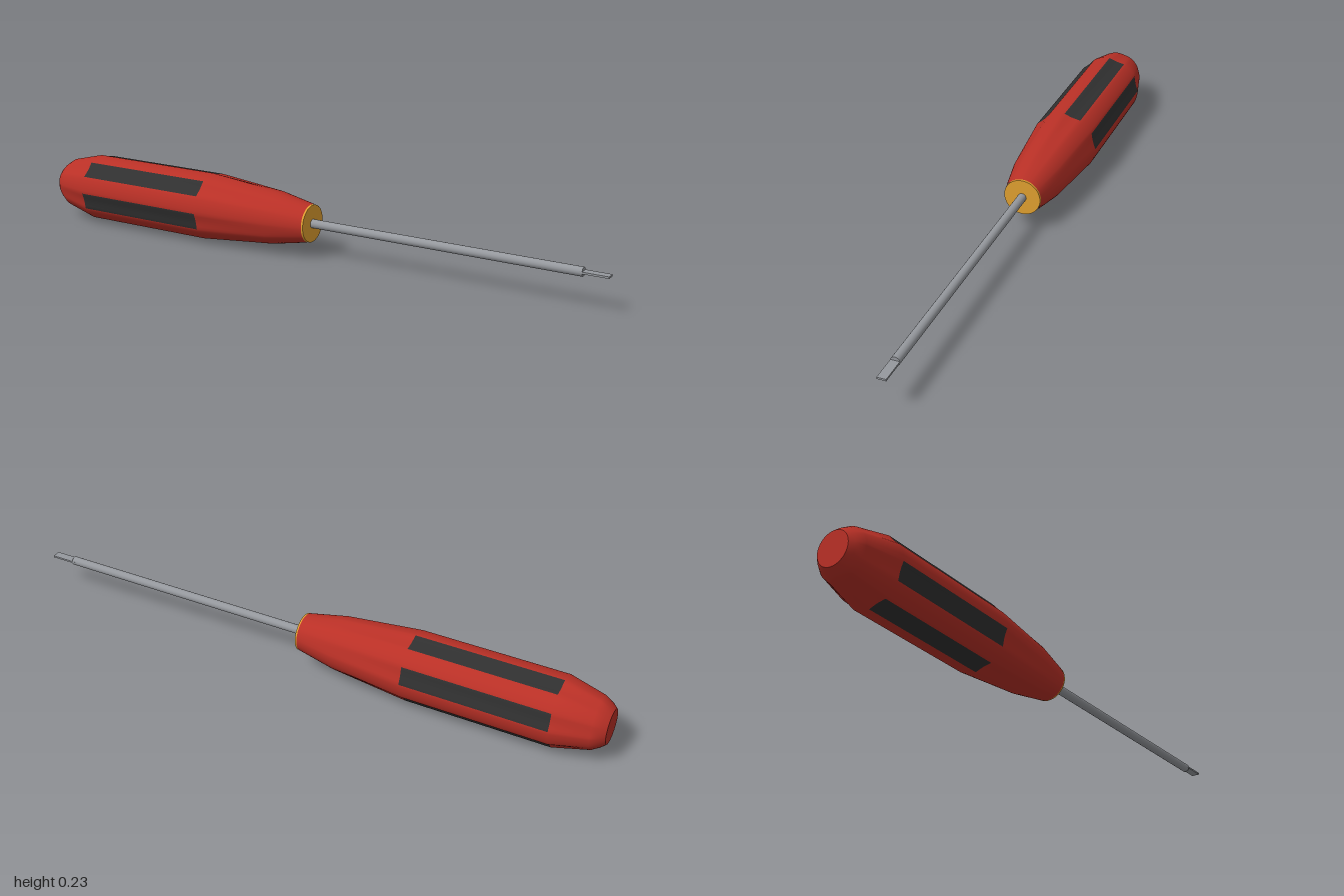
import * as THREE from 'three';

const AXIS_Y = 0.113;

const mat = (name, color, side = THREE.FrontSide) => {
  const m = new THREE.MeshStandardMaterial({ color, side });
  m.name = name;
  return m;
};

// Handle skin: stations of [x, radius, groove depth] swept around the x axis,
// with six shallow grooves; the grooves of the middle section take material 1.
function handleGeometry(stations, gripStation) {
  const seg = 72, pos = [], red = [], grip = [];
  for (const [x, r, depth] of stations) {
    for (let j = 0; j < seg; j++) {
      const a = (j / seg) * Math.PI * 2;
      const t = (j % 12) - 6; // 30 degrees of land, then 30 degrees of groove
      const rr = r - (t > 0 ? depth * Math.sin((t / 6) * Math.PI) : 0);
      pos.push(x, rr * Math.sin(a), rr * Math.cos(a));
    }
  }
  for (let i = 0; i < stations.length - 1; i++) {
    for (let j = 0; j < seg; j++) {
      const k = (j + 1) % seg;
      const a = i * seg + j, b = a + seg, c = i * seg + k, d = c + seg;
      const list = i === gripStation && j % 12 >= 6 ? grip : red;
      list.push(a, b, c, c, b, d);
    }
  }
  const geo = new THREE.BufferGeometry();
  geo.setAttribute('position', new THREE.Float32BufferAttribute(pos, 3));
  geo.setIndex([...red, ...grip]);
  geo.addGroup(0, red.length, 0);
  geo.addGroup(red.length, grip.length, 1);
  geo.computeVertexNormals();
  return geo;
}

export function createModel() {
  const red = mat('handle red', 0xb93026);
  const black = mat('grip black', 0x303030);
  const yellow = mat('collar yellow', 0xe0a030);
  const steel = mat('steel grey', 0x95989d);

  const model = new THREE.Group();
  model.name = 'screwdriver';
  const add = (name, geo, material, x = 0) => {
    const mesh = new THREE.Mesh(geo, material);
    mesh.name = name;
    mesh.position.set(x, AXIS_Y, 0);
    model.add(mesh);
    return mesh;
  };
  // Cylinder lying along x between two stations
  const rod = (name, r, x0, x1, sides, material) =>
    add(name, new THREE.CylinderGeometry(r, r, x1 - x0, sides).rotateZ(-Math.PI / 2), material, (x0 + x1) / 2);

  // Handle with inset grip strips
  add('handle', handleGeometry([
    [-1, 0.055, 0],
    [-0.985, 0.068, 0],
    [-0.96, 0.084, 0.002],
    [-0.845, 0.113, 0.006],
    [-0.37, 0.113, 0.006],
    [-0.12, 0.088, 0.001],
    [0.01, 0.062, 0],
  ], 3), [red, black]);
  add('handleEnd', new THREE.CircleGeometry(0.055, 72).rotateY(-Math.PI / 2), red, -1);

  // Collar disc closing the front of the handle
  rod('collar', 0.061, 0, 0.016, 48, yellow);

  // Shaft and flat blade
  rod('shaft', 0.0145, 0, 0.92, 16, steel);
  add('blade', new THREE.BoxGeometry(0.09, 0.006, 0.028), steel, 0.955);

  return model;
}
